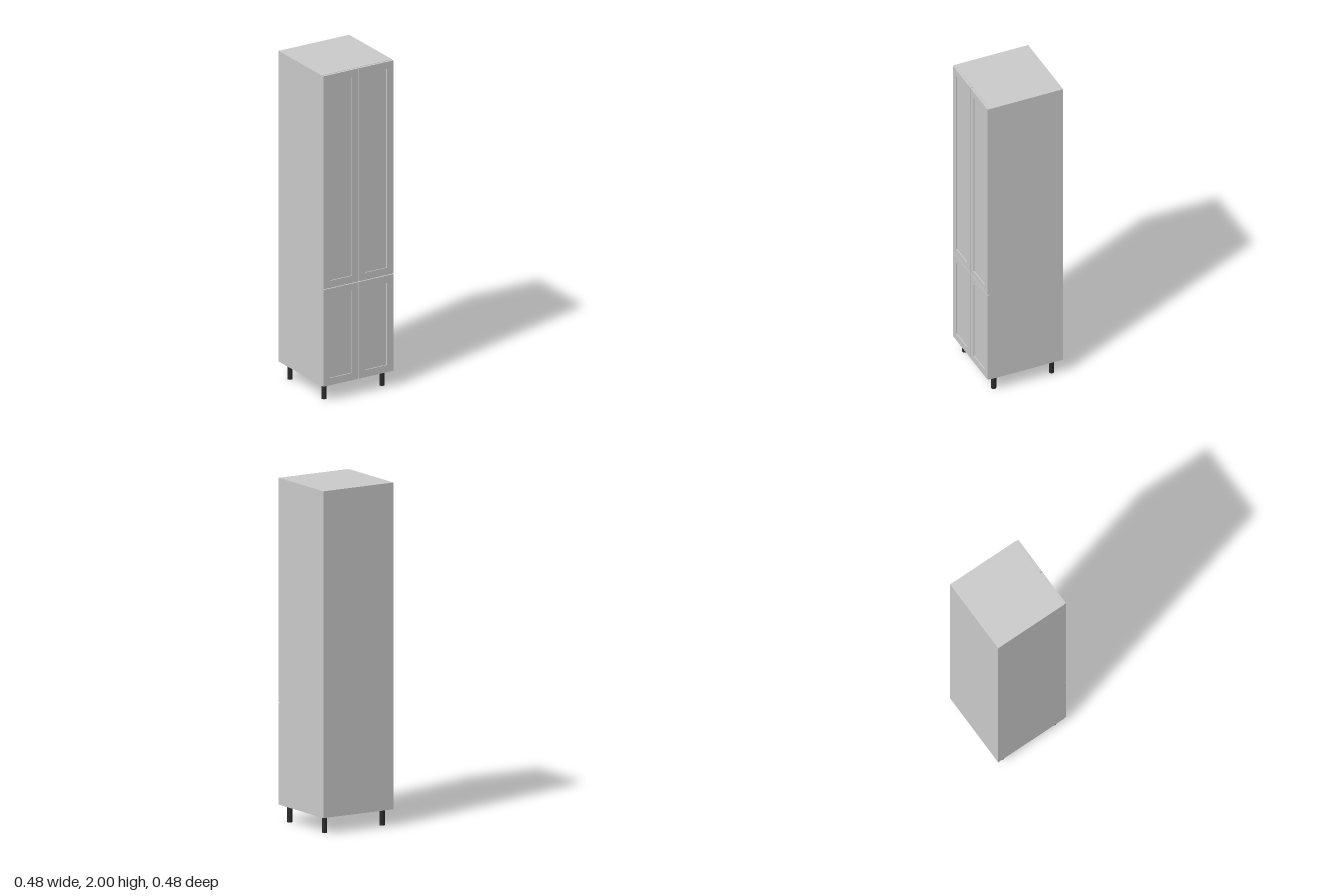
import * as THREE from 'three';

const grey = new THREE.MeshStandardMaterial({ color: 0xcccccc });
const dark = new THREE.MeshStandardMaterial({ color: 0x2a2a2a });

const W = 0.238;              // half width of the carcass
const BACK = -0.238, FRONT = 0.222, DOOR_FRONT = 0.237;
const BASE = 0.097, TOP = 2;
const T = 0.013;              // board thickness
const RAIL = 0.044;           // door frame width

// Box given by its minimum and maximum corners
function board(name, x0, x1, y0, y1, z0, z1) {
  const mesh = new THREE.Mesh(new THREE.BoxGeometry(x1 - x0, y1 - y0, z1 - z0), grey);
  mesh.position.set((x0 + x1) / 2, (y0 + y1) / 2, (z0 + z1) / 2);
  mesh.name = name;
  return mesh;
}

function rectangle(path, x0, x1, y0, y1) {
  path.moveTo(x0, y0);
  path.lineTo(x1, y0);
  path.lineTo(x1, y1);
  path.lineTo(x0, y1);
  path.closePath();
  return path;
}

// Framed door with a recessed centre panel
function door(name, x0, x1, y0, y1) {
  const group = new THREE.Group();
  group.name = name;
  const shape = rectangle(new THREE.Shape(), x0, x1, y0, y1);
  const [px0, px1, py0, py1] = [x0 + RAIL, x1 - RAIL, y0 + RAIL, y1 - RAIL];
  shape.holes.push(rectangle(new THREE.Path(), px0, px1, py0, py1));
  const frame = new THREE.Mesh(
    new THREE.ExtrudeGeometry(shape, { depth: DOOR_FRONT - FRONT - 0.001, bevelEnabled: false }), grey);
  frame.position.z = FRONT + 0.001;
  frame.name = 'doorFrame';
  group.add(frame, board('doorPanel', px0, px1, py0, py1, FRONT + 0.002, DOOR_FRONT - 0.006));
  return group;
}

export function createModel() {
  const model = new THREE.Group();
  model.name = 'tallCabinet';

  // Carcass
  const inner = W - T;
  model.add(
    board('rightSide', -W, -inner, BASE, TOP, BACK, FRONT),
    board('leftSide', inner, W, BASE, TOP, BACK, FRONT),
    board('topBoard', -inner, inner, TOP - T, TOP, BACK, FRONT),
    board('bottomBoard', -inner, inner, BASE, BASE + T, BACK, FRONT),
    board('backBoard', -inner, inner, BASE + T, TOP - T, BACK, BACK + 0.004),
    board('middleShelf', -inner, inner, 0.684, 0.697, BACK + 0.004, FRONT));

  // Two tall doors above two short ones
  for (const [level, y0, y1] of [['lower', BASE + 0.001, 0.69], ['upper', 0.694, TOP - 0.001]]) {
    model.add(door(level + 'RightDoor', -0.236, -0.002, y0, y1));
    model.add(door(level + 'LeftDoor', 0.002, 0.236, y0, y1));
  }

  // Round legs
  for (const x of [-0.196, 0.196]) for (const z of [-0.184, 0.18]) {
    const leg = new THREE.Mesh(new THREE.CylinderGeometry(0.015, 0.015, BASE, 24), dark);
    leg.position.set(x, BASE / 2, z);
    leg.name = (z > 0 ? 'front' : 'back') + (x > 0 ? 'Left' : 'Right') + 'Leg';
    model.add(leg);
  }
  return model;
}
